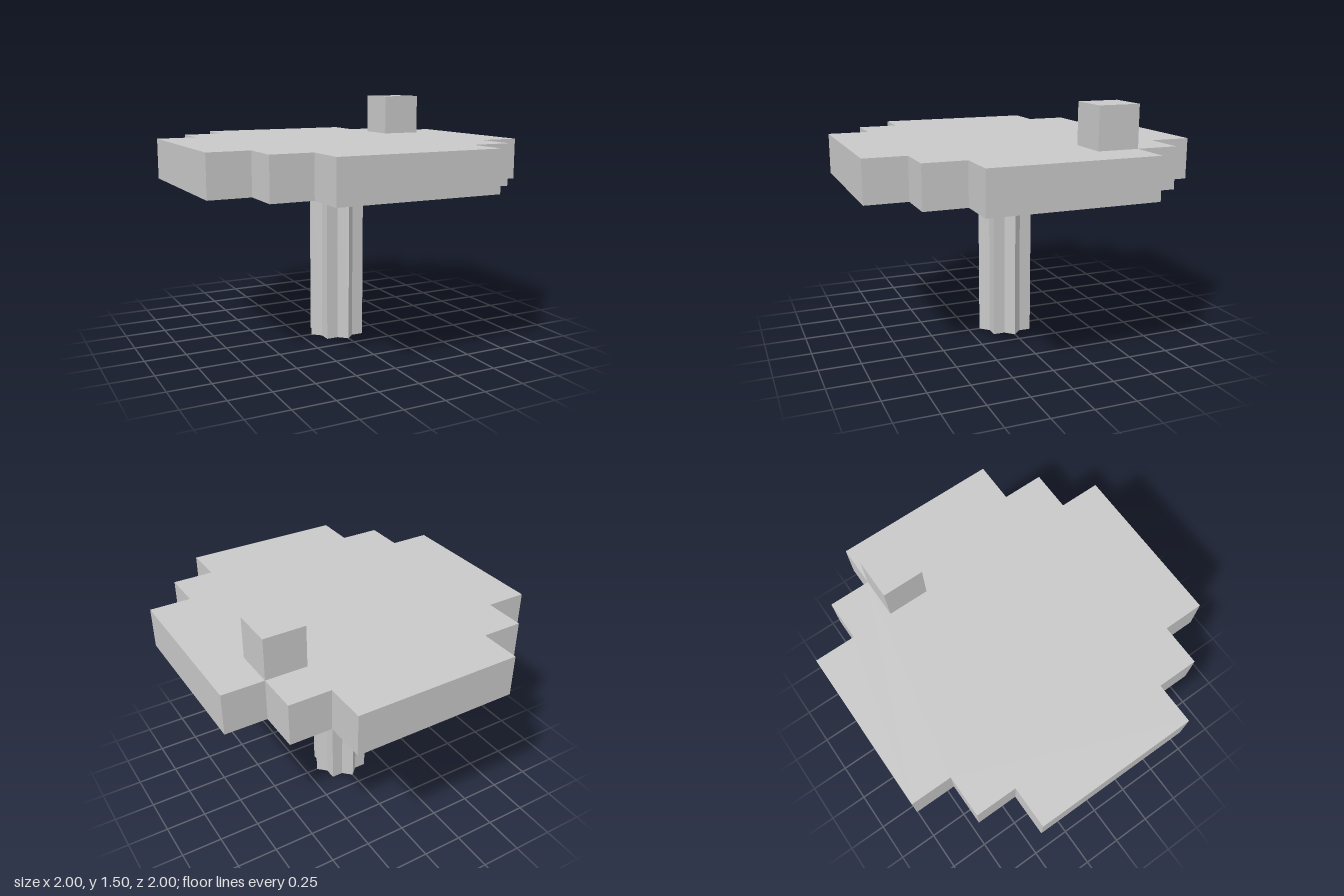
import * as THREE from 'three';

// Extrudes a plan outline upwards from y = bottom
function prism(points, bottom, height) {
  const geometry = new THREE.ExtrudeGeometry(new THREE.Shape(points), { depth: height, bevelEnabled: false });
  geometry.rotateX(-Math.PI / 2);
  geometry.translate(0, bottom, 0);
  return geometry;
}

export function createModel() {
  const model = new THREE.Group();
  const stone = new THREE.MeshStandardMaterial({ color: 0xc8c8c8 });
  stone.name = 'light grey';

  const add = (name, geometry) => {
    const mesh = new THREE.Mesh(geometry, stone);
    mesh.name = name;
    model.add(mesh);
    return mesh;
  };

  // Post: eight-pointed star made by a square and the same square turned 45 degrees
  const half = 0.125;
  const star = [];
  for (let i = 0; i < 16; i++) {
    const radius = i % 2 === 0 ? half * Math.SQRT2 : half / Math.cos(Math.PI / 8);
    const angle = (i * Math.PI) / 8;
    star.push(new THREE.Vector2(radius * Math.cos(angle), radius * Math.sin(angle)));
  }
  add('post', prism(star, 0, 1));

  // Table top: one stepped corner, turned about the centre four times
  const corner = [[1, 0.5], [0.75, 0.5], [0.75, 0.75], [0.5, 0.75], [0.5, 1]];
  const outline = [];
  for (let i = 0; i < 4; i++) {
    for (const [x, y] of corner) {
      outline.push(new THREE.Vector2(x, y).rotateAround(new THREE.Vector2(), (i * Math.PI) / 2));
    }
  }
  add('tableTop', prism(outline, 1, 0.25));

  // Small cube standing on the table top
  add('cube', new THREE.BoxGeometry(0.25, 0.25, 0.25)).position.set(0.625, 1.375, -0.375);

  return model;
}
